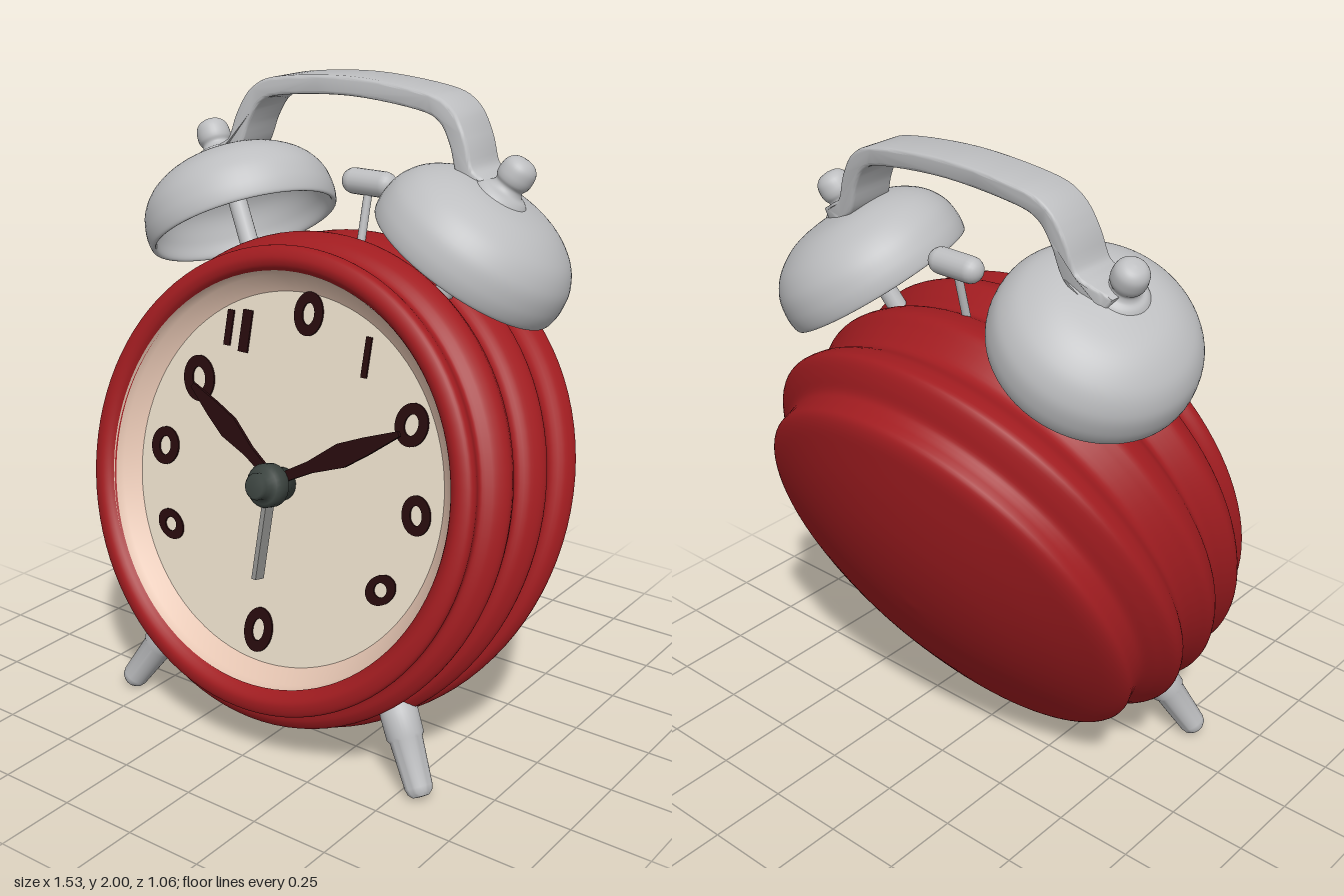
import * as THREE from 'three';
import { mergeVertices, toCreasedNormals } from 'three/addons/utils/BufferGeometryUtils.js';

const paint = (name, color) => {
  const m = new THREE.MeshStandardMaterial({ color });
  m.name = name;
  return m;
};
const vecs = (list) => list.map(([x, y]) => new THREE.Vector2(x, y));

// Lathe around y, optionally along a spline through the points
function lathe(points, steps = 0, segments = 64) {
  const pts = steps ? new THREE.SplineCurve(vecs(points)).getPoints(steps) : vecs(points);
  pts.forEach((p) => { p.x = Math.max(p.x, 0); });
  return new THREE.LatheGeometry(pts, segments);
}
// Smooth normals without a seam
function smooth(geometry) {
  geometry.deleteAttribute('uv');
  geometry.deleteAttribute('normal');
  const g = mergeVertices(geometry, 1e-4);
  g.computeVertexNormals();
  return g;
}

export function createModel() {
  const red = paint('red enamel', 0xa11c20);
  const metal = paint('light grey metal', 0xbdbec0);
  const cream = paint('cream dial', 0xe8dcc8);
  const blush = paint('blush inner wall', 0xe4c4b1);
  const dark = paint('dark brown', 0x260a0c);
  const hubGrey = paint('dark hub grey', 0x3c4440);
  const handGrey = paint('alarm hand grey', 0x8c8c8a);

  const model = new THREE.Group();
  model.name = 'alarmClock';
  // Leaning frame: z is the dial's axis, the origin is the front rim's centre
  const clock = new THREE.Group();
  clock.name = 'leaningClock';
  clock.position.set(0, 0.86, 0.36);
  clock.rotation.x = THREE.MathUtils.degToRad(-14);
  model.add(clock);

  const add = (parent, name, geometry, material, x = 0, y = 0, z = 0) => {
    const mesh = new THREE.Mesh(geometry, material);
    mesh.name = name;
    mesh.position.set(x, y, z);
    parent.add(mesh);
    return mesh;
  };

  // Ribbed case with a domed back, sheared so it is deeper at the top
  const body = lathe([
    [0, -0.77], [0.15, -0.762], [0.3, -0.741], [0.45, -0.705], [0.58, -0.664], [0.65, -0.637], [0.682, -0.608],
    [0.68, -0.57], [0.685, -0.54], [0.722, -0.51], [0.76, -0.47], [0.753, -0.425], [0.722, -0.38], [0.742, -0.33],
    [0.765, -0.285], [0.747, -0.235], [0.717, -0.2], [0.735, -0.16], [0.748, -0.12], [0.725, -0.08],
    [0.692, -0.055], [0.7, -0.02], [0.69, 0], [0.66, 0.01], [0.635, 0], [0.62, -0.02],
  ], 120, 96).rotateX(Math.PI / 2);
  const p = body.attributes.position;
  for (let i = 0; i < p.count; i++) {
    const y = p.getY(i), z = p.getZ(i);
    p.setZ(i, z - 0.186 * y * THREE.MathUtils.clamp(-z / 0.45, 0, 1));
    p.setY(i, y - THREE.MathUtils.clamp((-z - 0.5) * 0.35, 0, 0.035));
  }
  add(clock, 'case', smooth(body), red);

  // Dial and the curved wall around it
  const dialZ = -0.08;
  const wall = lathe([[0.624, -0.012], [0.612, -0.045], [0.562, dialZ - 0.002]], 0, 96).rotateX(Math.PI / 2);
  add(clock, 'innerWall', wall, blush);
  add(clock, 'dial', new THREE.CircleGeometry(0.57, 96), cream, 0, 0, dialZ);

  // Painted hour marks: oval rings and bars
  const ring = (rx, ry) => {
    const s = new THREE.Shape();
    s.absellipse(0, 0, rx, ry, 0, Math.PI * 2);
    const hole = new THREE.Path();
    hole.absellipse(0, 0, rx * 0.42, ry * 0.5, 0, Math.PI * 2);
    s.holes.push(hole);
    return new THREE.ExtrudeGeometry(s, { depth: 0.006, bevelEnabled: false, curveSegments: 20 });
  };
  [
    [0.01, 0.505, 0.052, 0.066, 0], [-0.37, 0.24, 0.06, 0.072, 0.3], [0.42, 0.255, 0.055, 0.064, -0.2],
    [-0.47, 0.005, 0.055, 0.06, 0], [0.48, 0.005, 0.048, 0.058, 0.2], [-0.01, -0.47, 0.052, 0.07, -0.1],
    [-0.405, -0.235, 0.055, 0.042, -0.5], [0.4, -0.235, 0.055, 0.042, 0.7],
  ].forEach(([x, y, rx, ry, turn]) => {
    add(clock, 'hourMark', ring(rx, ry), dark, x, y, dialZ).rotation.z = turn;
  });
  [[-0.28, 0.024, 0.11], [-0.215, 0.036, 0.13], [0.235, 0.02, 0.12]].forEach(([x, w, h]) => {
    add(clock, 'hourBar', new THREE.BoxGeometry(w, h, 0.008), dark, x, 0.415, dialZ + 0.002);
  });

  // Hands
  const hand = (length) => {
    const s = new THREE.Shape(vecs([
      [0, -0.014], [length * 0.3, -0.018], [length * 0.55, -0.036], [length * 0.75, -0.026], [length, -0.008],
      [length, 0.008], [length * 0.75, 0.026], [length * 0.55, 0.036], [length * 0.3, 0.018], [0, 0.014],
    ]));
    return new THREE.ExtrudeGeometry(s, { depth: 0.012, bevelEnabled: false });
  };
  add(clock, 'minuteHand', hand(0.47), dark, 0, 0, -0.04).rotation.z = 0.51;
  add(clock, 'hourHand', hand(0.42), dark, 0, 0, -0.04).rotation.z = Math.PI - 0.56;
  add(clock, 'alarmHand', new THREE.BoxGeometry(0.016, 0.29, 0.04), handGrey, 0, -0.155, -0.022);
  add(clock, 'hub', lathe([
    [0, -0.08], [0.05, -0.08], [0.05, -0.03], [0.066, -0.025], [0.066, 0.01], [0.055, 0.02],
    [0.04, 0.024], [0.04, 0.05], [0.032, 0.06], [0, 0.06],
  ], 0, 24).rotateX(Math.PI / 2), hubGrey, 0, -0.012, 0);

  // Hammer between the bells
  add(clock, 'hammerStem', new THREE.CylinderGeometry(0.013, 0.013, 0.2, 12), metal, 0.012, 0.81, -0.29);
  const head = new THREE.CapsuleGeometry(0.04, 0.11, 6, 20).rotateZ(Math.PI / 2);
  add(clock, 'hammerHead', head, metal, 0.012, 0.91, -0.29);

  // Bells with stems and knobs
  const bellShape = smooth(lathe([
    [0, 0.215], [0.15, 0.19], [0.235, 0.13], [0.275, 0.05], [0.288, 0], [0.302, 0],
    [0.307, 0.05], [0.292, 0.115], [0.243, 0.177], [0.15, 0.225], [0, 0.245],
  ], 60));
  const knobShape = smooth(lathe([
    [0, -0.02], [0.07, -0.02], [0.085, 0], [0.084, 0.02], [0.07, 0.036], [0.052, 0.045], [0.044, 0.06],
    [0.051, 0.075], [0.053, 0.095], [0.048, 0.122], [0.03, 0.14], [0, 0.146],
  ], 48, 32));
  // Feet: tapered with a stepped collar
  const footShape = toCreasedNormals(lathe([
    [0, 0], [0.025, 0.002], [0.037, 0.014], [0.042, 0.03], [0.05, 0.17], [0.057, 0.18],
    [0.058, 0.25], [0.055, 0.31], [0.035, 0.335], [0, 0.34],
  ], 0, 32), 0.7);
  for (const [side, label] of [[1, 'left'], [-1, 'right']]) {
    const bell = new THREE.Group();
    bell.name = label + 'BellAssembly';
    bell.position.z = -0.245;
    bell.rotation.z = -side * THREE.MathUtils.degToRad(29.5);
    clock.add(bell);
    add(bell, label + 'Bell', bellShape, metal, 0, 0.828, 0);
    add(bell, label + 'BellStem', new THREE.CylinderGeometry(0.03, 0.03, 0.32, 16), metal, 0, 0.88, 0);
    add(bell, label + 'BellKnob', knobShape, metal, -side * 0.006, 1.038, 0.035);

    const foot = add(model, label + 'Foot', footShape, metal, side * 0.578, 0.012, 0.38);
    const up = new THREE.Vector3(-side * 0.15, 0.24, -0.08).normalize();
    foot.quaternion.setFromUnitVectors(new THREE.Vector3(0, 1, 0), up);
  }

  // Carrying handle: a bent strap of even thickness, its ends under the knobs
  const half = [[0.52, 1.7], [0.47, 1.73], [0.42, 1.765], [0.388, 1.85], [0.34, 1.92], [0.25, 1.953]];
  const path = new THREE.SplineCurve(vecs([
    ...half.map(([x, y]) => [-x, y]), [0, 1.972], ...half.slice().reverse(),
  ]));
  const upper = [], lower = [];
  for (let i = 0; i <= 60; i++) {
    const c = path.getPoint(i / 60), t = path.getTangent(i / 60);
    upper.push(new THREE.Vector2(c.x - t.y * 0.018, c.y + t.x * 0.018));
    lower.push(new THREE.Vector2(c.x + t.y * 0.018, c.y - t.x * 0.018));
  }
  const strap = new THREE.ExtrudeGeometry(new THREE.Shape([...lower, ...upper.reverse()]), {
    depth: 0.14, bevelEnabled: true, bevelSize: 0.01, bevelThickness: 0.01, bevelSegments: 3,
  });
  strap.translate(0, 0, -0.163);
  const sp = strap.attributes.position;
  for (let i = 0; i < sp.count; i++) {
    // Lean back with height, and round the ends off below the knobs
    const taper = 1 - 0.35 * THREE.MathUtils.smoothstep(Math.abs(sp.getX(i)), 0.46, 0.54);
    sp.setZ(i, -0.093 + (sp.getZ(i) + 0.093) * taper - (sp.getY(i) - 1.7) * 0.1);
  }
  add(model, 'handle', toCreasedNormals(strap, 0.6), metal);

  return model;
}
